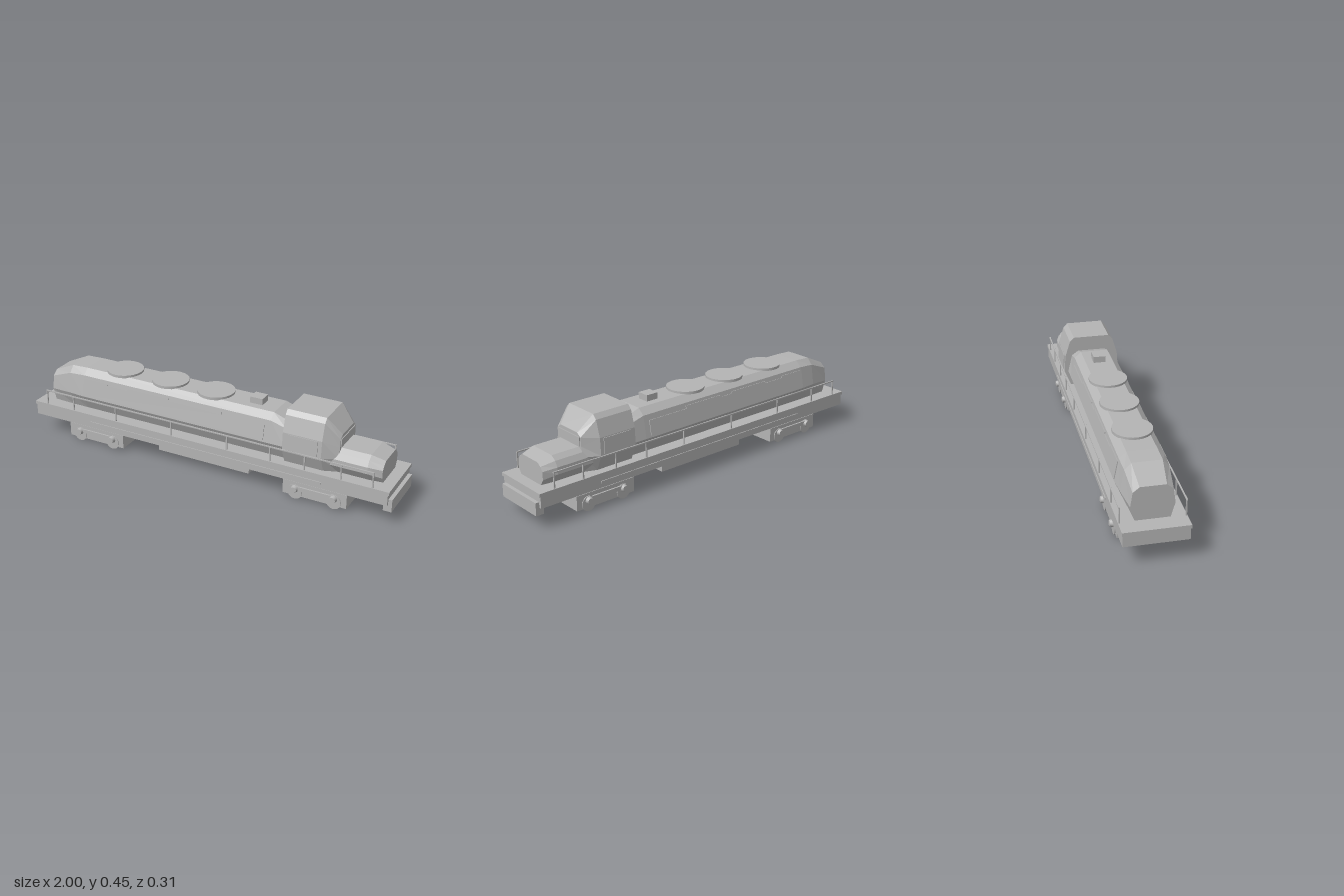
import * as THREE from 'three';

const bodyGrey = new THREE.MeshStandardMaterial({ color: 0xb4b4b4 });
bodyGrey.name = 'bodyGrey';

// Faceted hull along x. Each section is [x, [[z, y], ...]] listed from the bottom to the top of the +z side.
function loft(sections) {
  const loops = sections.map(([x, half]) => [
    ...half.map(([z, y]) => [x, y, z]),
    ...half.slice().reverse().map(([z, y]) => [x, y, -z]),
  ]);
  const n = loops[0].length, out = [];
  const tri = (a, b, c) => out.push(...a, ...b, ...c);
  for (let s = 0; s < loops.length - 1; s++) {
    const A = loops[s], B = loops[s + 1];
    for (let i = 0; i < n; i++) {
      const j = (i + 1) % n;
      tri(A[i], B[i], A[j]);
      tri(A[j], B[i], B[j]);
    }
  }
  const first = loops[0], last = loops[loops.length - 1];
  for (let i = 1; i < n - 1; i++) {
    tri(first[0], first[i], first[i + 1]);
    tri(last[0], last[i + 1], last[i]);
  }
  const g = new THREE.BufferGeometry();
  g.setAttribute('position', new THREE.Float32BufferAttribute(out, 3));
  g.computeVertexNormals();
  return g;
}

export function createModel() {
  const model = new THREE.Group();
  model.name = 'locomotive';

  const add = (name, geometry, parent = model) => {
    const mesh = new THREE.Mesh(geometry, bodyGrey);
    mesh.name = name;
    parent.add(mesh);
    return mesh;
  };
  // Box given by its limits
  const box = (name, x0, x1, y0, y1, z0, z1, parent) => {
    const mesh = add(name, new THREE.BoxGeometry(x1 - x0, y1 - y0, z1 - z0), parent);
    mesh.position.set((x0 + x1) / 2, (y0 + y1) / 2, (z0 + z1) / 2);
    return mesh;
  };

  // Underframe
  box('deck', -1, 0.985, 0.163, 0.18, -0.154, 0.154);
  box('sill', -0.995, 0.978, 0.105, 0.163, -0.15, 0.15);
  box('fuelTank', -0.27, 0.246, 0.048, 0.105, -0.1, 0.1);
  box('frontPlow', 0.955, 0.997, 0.069, 0.133, -0.136, 0.136);

  // Long engine hood
  const hood = [[0.085, 0.18], [0.125, 0.26], [0.104, 0.372], [0.07, 0.402]];
  add('engineHood', loft([
    [-0.917, [[0.08, 0.18], [0.1, 0.25], [0.09, 0.32], [0.06, 0.345]]],
    [-0.8, [[0.085, 0.18], [0.118, 0.26], [0.1, 0.365], [0.07, 0.398]]],
    [-0.71, hood],
    [0.36, hood],
    [0.44, [[0.085, 0.18], [0.125, 0.26], [0.104, 0.35], [0.07, 0.374]]],
  ]));

  // Cab
  const cab = [[0.112, 0.18], [0.145, 0.26], [0.139, 0.346], [0.114, 0.428], [0.093, 0.45]];
  add('cab', loft([
    [0.44, cab],
    [0.64, cab],
    [0.712, [[0.085, 0.18], [0.105, 0.26], [0.092, 0.31], [0.09, 0.353], [0.065, 0.37]]],
  ]));
  box('windshield', 0.708, 0.716, 0.31, 0.353, -0.085, 0.085);

  // Short front nose
  const nose = [[0.088, 0.18], [0.118, 0.225], [0.116, 0.258], [0.1, 0.285], [0.073, 0.304]];
  add('nose', loft([
    [0.64, nose],
    [0.86, nose],
    [0.928, [[0.08, 0.18], [0.098, 0.21], [0.098, 0.25], [0.083, 0.27], [0.062, 0.285]]],
  ]));

  // Roof fans and exhaust
  for (const x of [-0.52, -0.25, 0.01]) {
    const fan = add('roofFan', new THREE.CylinderGeometry(0.095, 0.095, 0.014, 32));
    fan.position.set(x, 0.406, 0);
  }
  box('exhaust', 0.213, 0.279, 0.395, 0.434, -0.031, 0.031);

  // Engine doors with a stepped top edge, lying on the hood's sloping side
  const doorShape = new THREE.Shape();
  [[-0.71, 0.01], [0.33, 0.01], [0.33, 0.085], [0.1, 0.085], [0.1, 0.1], [-0.13, 0.1], [-0.13, 0.09],
    [-0.2, 0.09], [-0.2, 0.1], [-0.44, 0.1], [-0.44, 0.09], [-0.56, 0.09], [-0.56, 0.1], [-0.71, 0.1]]
    .forEach(([x, y], i) => (i ? doorShape.lineTo(x, y) : doorShape.moveTo(x, y)));

  for (const side of [1, -1]) {
    const doors = add('engineDoors', new THREE.ExtrudeGeometry(doorShape, { depth: 0.008, bevelEnabled: false })
      .translate(0, 0, -0.004));
    doors.position.set(0, 0.26, side * 0.125);
    doors.rotation.x = -side * 0.185;

    const cabWindow = box('cabWindow', 0.465, 0.62, 0.265, 0.342, side * 0.138, side * 0.146);
    cabWindow.geometry = new THREE.BoxGeometry(0.155, 0.077, 0.008);
    cabWindow.position.z = side * 0.1418;
    cabWindow.rotation.x = -side * 0.07;

    const strip = add('sillStrip', new THREE.BoxGeometry(1.3, 0.011, 0.005));
    strip.position.set(0, 0.134, side * 0.1515);

    // Handrail and posts
    const rail = add('handrail', new THREE.BoxGeometry(1.83, 0.006, 0.006));
    rail.position.set(-0.01, 0.258, side * 0.15);
    for (const x of [-0.922, -0.755, -0.495, -0.168, 0.147, 0.38, 0.56, 0.745, 0.902]) {
      const post = add('railPost', new THREE.BoxGeometry(0.006, 0.08, 0.006));
      post.position.set(x, 0.219, side * 0.148);
    }
  }

  // Bogies with wheels and axle boxes
  for (const cx of [-0.633, 0.61]) {
    const bogie = new THREE.Group();
    bogie.name = 'bogie';
    bogie.position.x = cx;
    model.add(bogie);
    box('bogieFrame', -0.165, 0.165, 0.018, 0.092, -0.131, 0.131, bogie);
    box('bogiePivot', -0.06, 0.06, 0.09, 0.106, -0.06, 0.06, bogie);
    for (const side of [1, -1]) {
      const beam = add('sideBeam', new THREE.BoxGeometry(0.22, 0.02, 0.008), bogie);
      beam.position.set(0, 0.062, side * 0.135);
      for (const x of [-0.1, 0.1]) {
        const wheel = add('wheel', new THREE.CylinderGeometry(0.038, 0.038, 0.014, 20).rotateX(Math.PI / 2), bogie);
        wheel.position.set(x, 0.04, side * 0.128);
        const hub = add('axleBox', new THREE.CylinderGeometry(0.015, 0.02, 0.02, 12)
          .rotateX(side * Math.PI / 2), bogie);
        hub.position.set(x, 0.057, side * 0.142);
      }
    }
  }
  return model;
}
